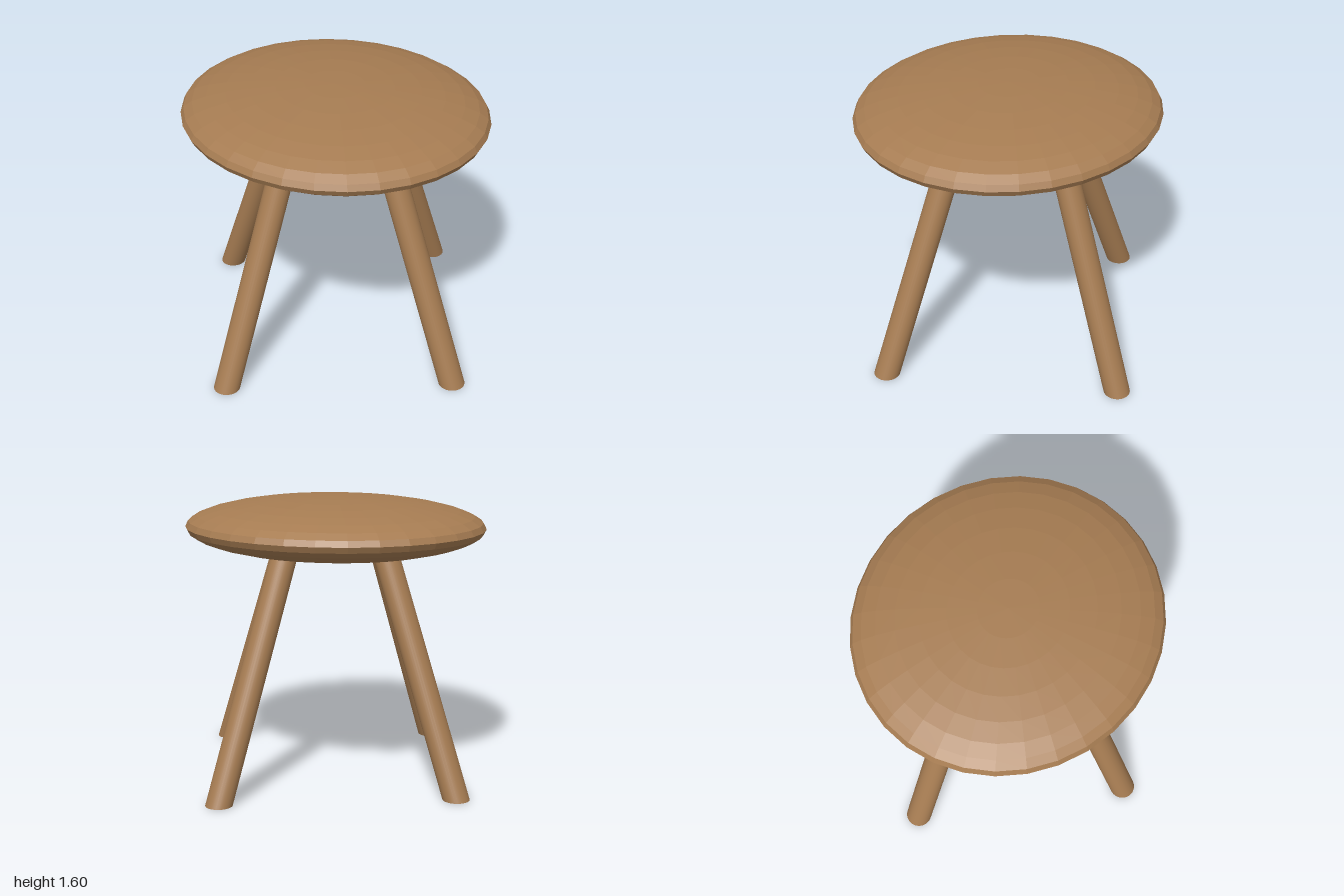
import * as THREE from 'three';

const LEG_HEIGHT = 1.4;
const LEAN = 0.397; // inward travel per unit of height

export function createModel() {
  const model = new THREE.Group();
  model.name = 'stool';
  const wood = new THREE.MeshStandardMaterial({ color: 0xa67c52 });
  const seatWood = new THREE.MeshStandardMaterial({ color: 0xa67c52, flatShading: true });

  // Seat: flattened, faceted ellipsoid
  const seatGeometry = new THREE.SphereGeometry(1, 32, 16);
  seatGeometry.scale(0.882, 0.17, 0.828);
  const seat = new THREE.Mesh(seatGeometry, seatWood);
  seat.name = 'seat';
  seat.position.set(0, 1.43, 0.027);
  model.add(seat);

  // Legs: cylinders sheared inward so the feet stay flat on the ground
  function addLeg(name, x, z, dirX, dirZ) {
    const geometry = new THREE.CylinderGeometry(0.075, 0.075, LEG_HEIGHT, 32);
    geometry.translate(0, LEG_HEIGHT / 2, 0);
    geometry.applyMatrix4(new THREE.Matrix4().set(
      1, -dirX * LEAN, 0, 0,
      0, 1, 0, 0,
      0, -dirZ * LEAN, 1, 0,
      0, 0, 0, 1
    ));
    const leg = new THREE.Mesh(geometry, wood);
    leg.name = name;
    leg.position.set(x, 0, z);
    model.add(leg);
  }
  addLeg('leftLeg', 0.907, 0.03, 1, 0);
  addLeg('rightLeg', -0.908, 0.02, -1, 0);
  addLeg('frontLeg', -0.012, 0.925, 0, 1);
  addLeg('backLeg', -0.018, -0.925, 0, -1);

  return model;
}
